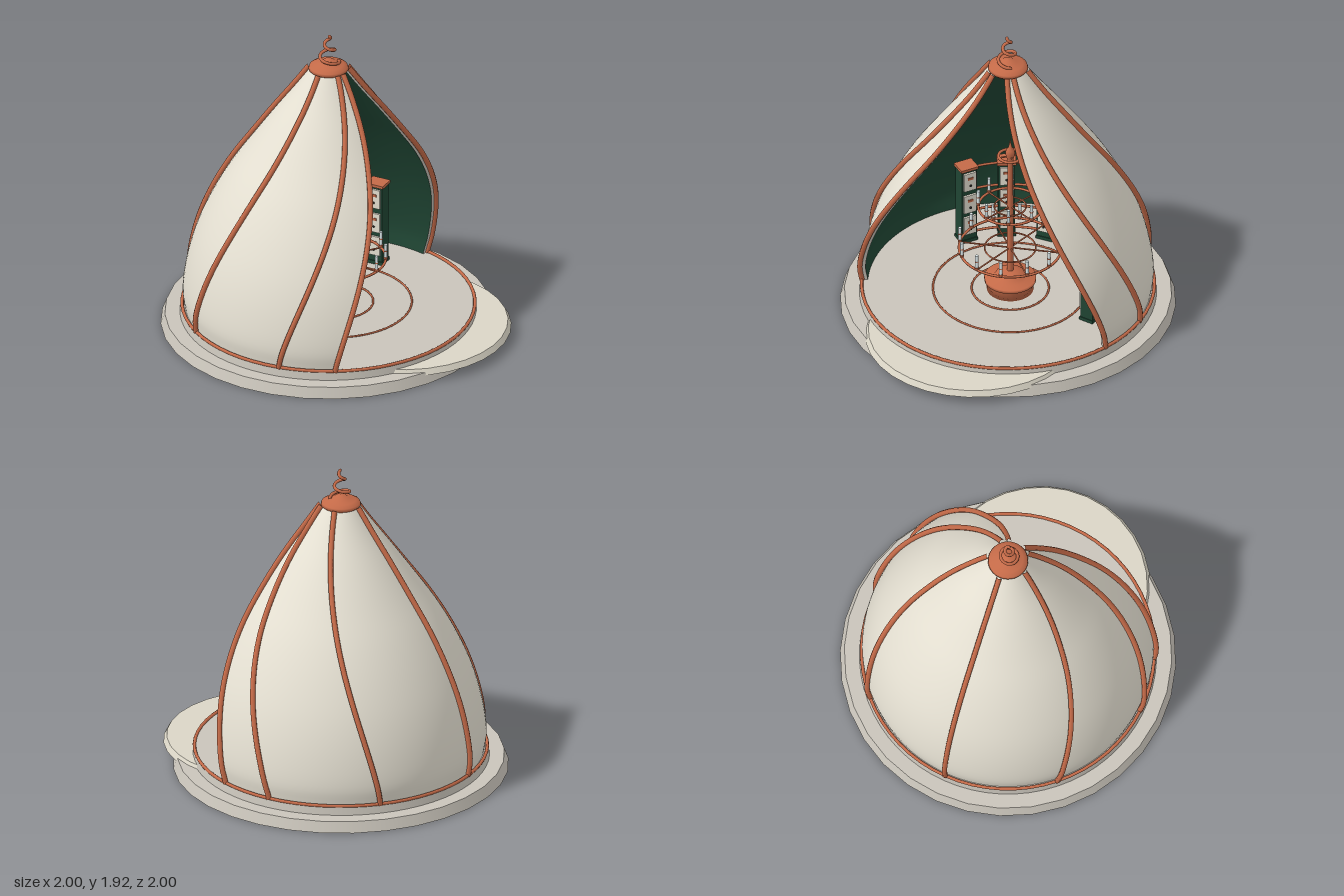
import * as THREE from 'three';

const mat = (color, side = THREE.FrontSide) => new THREE.MeshStandardMaterial({ color, side });
const copper = mat(0xc46a48), stone = mat(0xc9c4ba), cream = mat(0xe6e1d3), stepMat = mat(0xdad5c6);
const green = mat(0x1f4533), glass = mat(0xdce8ea), dark = mat(0x33302c);
const rad = THREE.MathUtils.degToRad;
const FLOOR = 0.115, TOP = 1.7, OPEN = 67.5;

function add(parent, name, geo, material, x = 0, y = 0, z = 0) {
  const m = new THREE.Mesh(geo, material);
  m.name = name;
  m.position.set(x, y, z);
  parent.add(m);
  return m;
}

const cyl = (rt, rb, h, n = 32) => new THREE.CylinderGeometry(rt, rb, h, n);
const lathe = (pts, n = 32) => new THREE.LatheGeometry(pts.map(p => new THREE.Vector2(...p)), n);

function ring(parent, name, r, tube, y) {
  const m = add(parent, name, new THREE.TorusGeometry(r, tube, 8, 64), copper, 0, y, 0);
  m.rotation.x = Math.PI / 2;
  return m;
}

// Pavilion profile: bulging skirt tapering to the crown
const profile = new THREE.CatmullRomCurve3([
  [0.87, FLOOR], [0.883, 0.22], [0.86, 0.4], [0.805, 0.6], [0.72, 0.8], [0.61, 1.0],
  [0.475, 1.2], [0.335, 1.4], [0.225, 1.55], [0.12, TOP],
].map(([r, y]) => new THREE.Vector3(r, y, 0)));

// Point on the canopy; delta = degrees from the middle of the doorway.
// The cloth sweeps round towards the doorway as it rises.
function canopyPoint(t, delta, inset = 0) {
  const p = profile.getPoint(t);
  const h = Math.max(0, (p.y - FLOOR) / (TOP - FLOOR));
  const a = rad(45 + delta - 48 * Math.pow(h, 1.25) * Math.sin(rad(delta)));
  const r = p.x - inset;
  return new THREE.Vector3(r * Math.cos(a), p.y, r * Math.sin(a));
}

// Grid surface from a point function of (u, v)
function sheet(fn, nu, nv, flip = false) {
  const pos = [], idx = [];
  for (let i = 0; i <= nv; i++)
    for (let j = 0; j <= nu; j++) pos.push(...fn(j / nu, i / nv).toArray());
  for (let i = 0; i < nv; i++)
    for (let j = 0; j < nu; j++) {
      const a = i * (nu + 1) + j, b = a + 1, c = a + nu + 1, d = c + 1;
      if (flip) idx.push(a, b, c, b, d, c);
      else idx.push(a, c, b, b, c, d);
    }
  const g = new THREE.BufferGeometry();
  g.setAttribute('position', new THREE.Float32BufferAttribute(pos, 3));
  g.setIndex(idx);
  g.computeVertexNormals();
  return g;
}

function canopy() {
  const g = new THREE.Group();
  g.name = 'canopy';
  const span = u => OPEN + u * (360 - 2 * OPEN);
  add(g, 'outerCloth', sheet((u, v) => canopyPoint(v, span(u), 0.015), 72, 40), cream);
  add(g, 'innerLining', sheet((u, v) => canopyPoint(v, span(u), 0.035), 72, 40, true), green);
  for (const d of [OPEN, 360 - OPEN])
    add(g, 'doorwayEdge', sheet((u, v) => canopyPoint(v, d, 0.015 + 0.02 * u), 1, 40),
      mat(0xc9c4ba, THREE.DoubleSide));
  for (const d of [OPEN, 90, 135, 180, 225, 270, 360 - OPEN]) {
    const pts = Array.from({ length: 25 }, (_, i) => canopyPoint(i / 24, d));
    add(g, 'rib', new THREE.TubeGeometry(new THREE.CatmullRomCurve3(pts), 48, 0.016, 8), copper);
  }
  return g;
}

function crown() {
  const g = new THREE.Group();
  g.name = 'crown';
  add(g, 'cap', lathe([[0, 1.68], [0.1, 1.68], [0.12, 1.7], [0.115, 1.715], [0.09, 1.73],
    [0.05, 1.74], [0.03, 1.755], [0, 1.76]]), copper);
  const pts = Array.from({ length: 41 }, (_, i) => {
    const t = i / 40, a = t * Math.PI * 4.4, r = 0.058 * (1 - t) + 0.008;
    return new THREE.Vector3(r * Math.cos(a), 1.735 + 0.18 * t, r * Math.sin(a));
  });
  add(g, 'spiralFinial', new THREE.TubeGeometry(new THREE.CatmullRomCurve3(pts), 90, 0.01, 8), copper);
  add(g, 'finialTip', new THREE.SphereGeometry(0.01, 8, 6), copper, ...pts[40].toArray());
  return g;
}

// Ring of candles carried on spokes
function candleTier(parent, r, y, count, offset) {
  const g = new THREE.Group();
  g.name = 'candleTier';
  ring(g, 'candleRing', r, 0.008, y);
  ring(g, 'innerRing', r * 0.5, 0.005, y);
  for (let i = 0; i < count; i++) {
    const arm = new THREE.Group();
    arm.name = 'candleArm';
    arm.rotation.y = rad(offset + i * 360 / count);
    if (i % 2 === 0) add(arm, 'spoke', cyl(0.005, 0.005, r, 6), copper, r / 2, y, 0).rotation.z = Math.PI / 2;
    add(arm, 'cup', cyl(0.014, 0.01, 0.02, 10), copper, r, y + 0.01, 0);
    add(arm, 'candle', cyl(0.01, 0.01, 0.085, 10), glass, r, y + 0.0625, 0);
    add(arm, 'candleBand', cyl(0.0115, 0.0115, 0.006, 10), copper, r, y + 0.06, 0);
    g.add(arm);
  }
  parent.add(g);
}

function centrepiece() {
  const g = new THREE.Group();
  g.name = 'centrepiece';
  add(g, 'pedestal', lathe([[0, 0.115], [0.14, 0.115], [0.14, 0.175], [0.155, 0.18], [0.155, 0.2],
    [0.1, 0.2], [0.085, 0.225], [0.05, 0.24], [0.02, 0.25], [0, 0.25]]), copper);
  add(g, 'column', cyl(0.017, 0.02, 0.88, 16), copper, 0, 0.66, 0);
  candleTier(g, 0.305, 0.41, 12, 0);
  candleTier(g, 0.19, 0.71, 8, 22.5);
  ring(g, 'topRing', 0.07, 0.009, 1.08);
  for (let i = 0; i < 2; i++) {
    const bar = add(g, 'topSpoke', cyl(0.005, 0.005, 0.14, 6), copper, 0, 1.08, 0);
    bar.rotation.set(0, i * Math.PI / 2, Math.PI / 2, 'YXZ');
  }
  add(g, 'columnFinial', lathe([[0.02, 1.06], [0.03, 1.1], [0.024, 1.125], [0.012, 1.14],
    [0.006, 1.17], [0, 1.21]], 16), copper);
  for (const r of [0.23, 0.46]) ring(g, 'floorInlay', r, 0.006, FLOOR + 0.003);
  return g;
}

// Tall cabinet, its drawers facing the middle (-x of the group)
function cabinet() {
  const g = new THREE.Group();
  g.name = 'cabinet';
  add(g, 'cabinetBody', new THREE.BoxGeometry(0.085, 0.52, 0.1), green, 0, 0.375, 0);
  add(g, 'cabinetTop', new THREE.BoxGeometry(0.1, 0.018, 0.115), copper, 0, 0.644, 0);
  add(g, 'cabinetFoot', new THREE.BoxGeometry(0.095, 0.02, 0.108), green, 0, 0.13, 0);
  for (const y of [0.245, 0.4, 0.56]) {
    add(g, 'drawer', new THREE.BoxGeometry(0.03, 0.125, 0.078), cream, -0.04, y, 0);
    add(g, 'drawerPlate', new THREE.BoxGeometry(0.006, 0.016, 0.036), copper, -0.056, y + 0.025, 0);
    const knob = add(g, 'drawerKnob', cyl(0.007, 0.007, 0.01, 8), dark, -0.057, y - 0.025, 0);
    knob.rotation.z = Math.PI / 2;
  }
  return g;
}

function cabinetArc() {
  const g = new THREE.Group();
  g.name = 'cabinetArc';
  const R = 0.57;
  for (let i = 0; i < 7; i++) {
    const a = rad(-38 - 25 * i), c = cabinet();
    c.position.set(R * Math.cos(a), 0, R * Math.sin(a));
    c.rotation.y = -a;
    g.add(c);
  }
  // Curved rails joining the cabinets
  for (const y of [0.17, 0.325, 0.48, 0.64]) {
    const rail = add(g, 'rail', new THREE.TorusGeometry(R - 0.02, 0.008, 8, 48, rad(150)), copper, 0, y, 0);
    rail.rotation.set(-Math.PI / 2, 0, rad(38));
  }
  return g;
}

export function createModel() {
  const model = new THREE.Group();
  model.name = 'pavilion';

  // Plinth, floor and doorstep
  add(model, 'plinth', cyl(0.975, 1, 0.065), stone, 0, 0.0325, 0);
  add(model, 'floorTier', cyl(0.875, 0.885, 0.05, 64), stone, 0, 0.09, 0);
  add(model, 'doorstep', cyl(0.63, 0.65, 0.035), stepMat, 0.33, 0.0675, 0.33);
  ring(model, 'baseRing', 0.872, 0.01, 0.12);

  model.add(canopy(), crown());

  // Furnishings stand slightly off centre
  const inside = new THREE.Group();
  inside.name = 'furnishings';
  inside.position.x = 0.04;
  inside.add(centrepiece(), cabinetArc());
  model.add(inside);
  return model;
}
